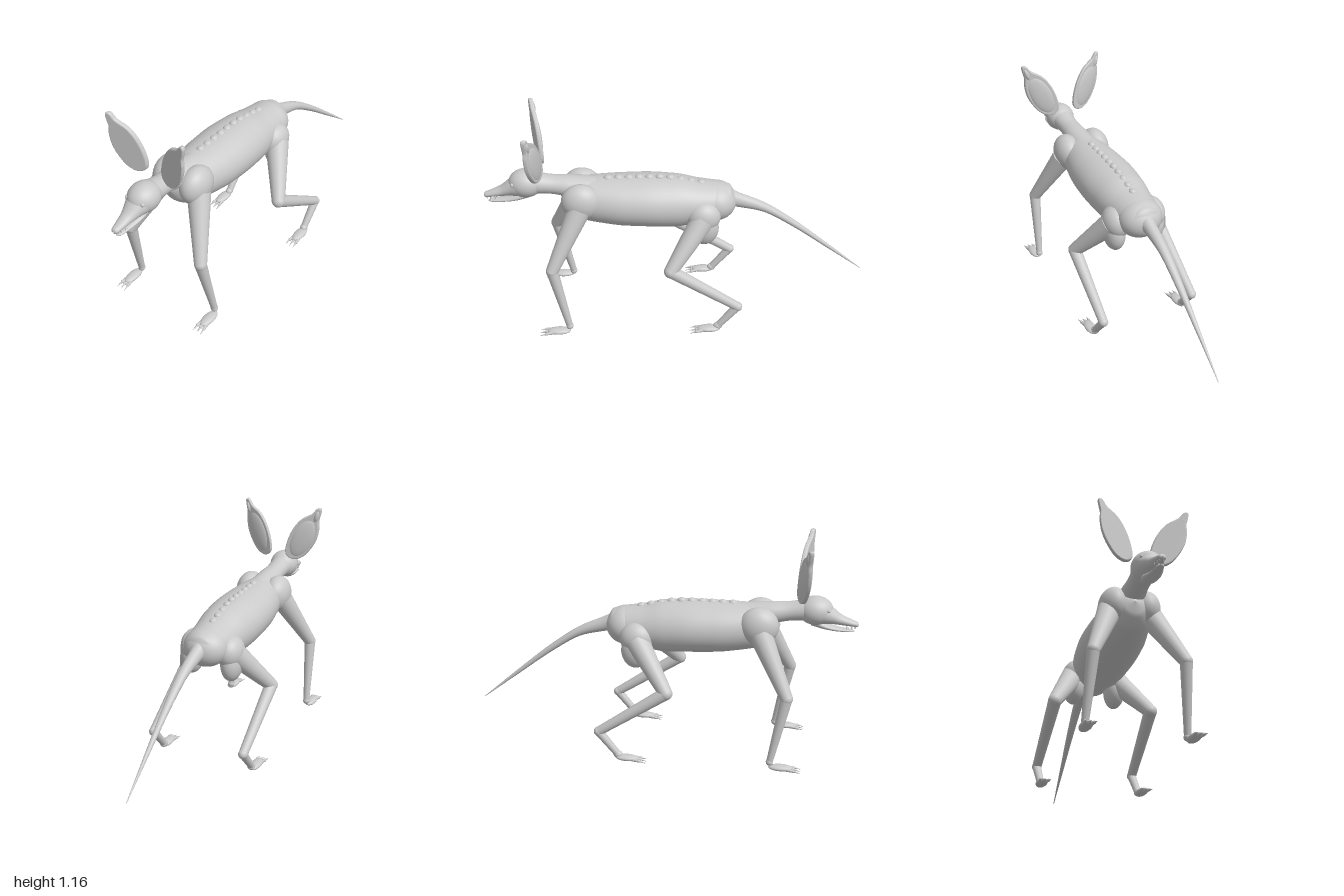
import * as THREE from 'three';

const grey = new THREE.MeshStandardMaterial({ color: 0xcacaca });
grey.name = 'light grey skin';
const V = (x, y, z) => new THREE.Vector3(x, y, z);

function add(parent, name, geometry) {
  const mesh = new THREE.Mesh(geometry, grey);
  mesh.name = name;
  parent.add(mesh);
  return mesh;
}

// Ellipsoid at a centre with three radii
function blob(parent, name, c, r, seg = 24) {
  const mesh = add(parent, name, new THREE.SphereGeometry(1, seg, Math.ceil(seg * 0.7)));
  mesh.position.set(...c);
  mesh.scale.set(...r);
  return mesh;
}

// Tapered round bar between two points
function bone(parent, name, a, b, ra, rb, seg = 16) {
  const p = V(...a), q = V(...b), d = q.clone().sub(p);
  const mesh = add(parent, name, new THREE.CylinderGeometry(rb, ra, d.length(), seg));
  mesh.position.copy(p).add(q).multiplyScalar(0.5);
  mesh.quaternion.setFromUnitVectors(V(0, 1, 0), d.normalize());
  return mesh;
}

// Smooth skin through oval sections [z, y, rx, ry], listed from front to back
function loft(parent, name, sections, steps = 40, around = 32) {
  const centre = new THREE.CatmullRomCurve3(sections.map(s => V(0, s[1], s[0])));
  const radii = new THREE.CatmullRomCurve3(sections.map(s => V(s[2], s[3], 0)));
  const pos = [], index = [];
  for (let i = 0; i <= steps; i++) {
    const c = centre.getPoint(i / steps), r = radii.getPoint(i / steps);
    for (let j = 0; j < around; j++) {
      const t = (j / around) * Math.PI * 2;
      pos.push(Math.max(r.x, 0.001) * Math.cos(t), c.y + Math.max(r.y, 0.001) * Math.sin(t), c.z);
      if (i === steps) continue;
      const a = i * around + j, b = i * around + (j + 1) % around;
      index.push(a, a + around, b, b, a + around, b + around);
    }
  }
  const g = new THREE.BufferGeometry();
  g.setAttribute('position', new THREE.Float32BufferAttribute(pos, 3));
  g.setIndex(index);
  g.computeVertexNormals();
  return add(parent, name, g);
}

// Paw with three claws reaching forward
function paw(parent, x, z) {
  blob(parent, 'paw', [x, 0.022, z], [0.029, 0.016, 0.062]);
  for (const k of [-1, 0, 1]) {
    const root = [x + k * 0.014, 0.02, z + 0.03];
    const tip = [x + k * 0.021, 0.016, z + 0.066];
    bone(parent, 'toe', root, tip, 0.011, 0.007, 10);
    blob(parent, 'toeTip', tip, [0.008, 0.008, 0.01], 10);
    bone(parent, 'claw', tip, [x + k * 0.024, 0.008, z + 0.102], 0.006, 0.001, 8);
  }
}

function frontLeg(s) {
  const g = new THREE.Group();
  g.name = s > 0 ? 'leftFrontLeg' : 'rightFrontLeg';
  const elbow = [s * 0.225, 0.395, 0.66], wrist = [s * 0.245, 0.045, 0.588];
  blob(g, 'shoulder', [s * 0.082, 0.722, 0.5], [0.073, 0.098, 0.102], 32);
  bone(g, 'upperArm', [s * 0.105, 0.69, 0.51], elbow, 0.06, 0.032, 24);
  blob(g, 'elbow', elbow, [0.032, 0.032, 0.032]);
  bone(g, 'foreArm', elbow, wrist, 0.031, 0.017);
  blob(g, 'wrist', wrist, [0.019, 0.02, 0.019]);
  paw(g, s * 0.255, 0.645);
  return g;
}

function hindLeg(s) {
  const g = new THREE.Group();
  g.name = s > 0 ? 'leftHindLeg' : 'rightHindLeg';
  const knee = [s * 0.255, 0.395, 0.05], hock = [s * 0.262, 0.16, -0.302], ankle = [s * 0.262, 0.035, -0.2];
  blob(g, 'hip', [s * 0.1, 0.63, -0.125], [0.072, 0.085, 0.09], 32);
  blob(g, 'buttock', [s * 0.112, 0.565, -0.13], [0.055, 0.095, 0.075], 32);
  bone(g, 'thigh', [s * 0.12, 0.62, -0.12], knee, 0.062, 0.035, 24);
  blob(g, 'knee', knee, [0.035, 0.035, 0.035]);
  bone(g, 'shin', knee, hock, 0.034, 0.024);
  blob(g, 'hock', hock, [0.025, 0.025, 0.025]);
  bone(g, 'heel', hock, ankle, 0.023, 0.018);
  blob(g, 'ankle', ankle, [0.02, 0.02, 0.024]);
  paw(g, s * 0.267, -0.152);
  return g;
}

// Thin leaf-shaped ear with a padded back, swept forward towards its outer side
function ear(parent, s) {
  const outline = [[0.085, 0.866], [0.054, 0.888], [0.052, 0.93], [0.083, 1.025], [0.13, 1.09], [0.187, 1.125],
    [0.212, 1.155], [0.222, 1.155], [0.22, 1.13], [0.211, 1.09], [0.213, 1.05], [0.202, 0.985], [0.174, 0.928], [0.13, 0.878]];
  const curve = new THREE.CatmullRomCurve3(outline.map(p => V(s * p[0], p[1], 0)), true);
  const shape = new THREE.Shape(curve.getPoints(56).slice(0, -1).map(p => new THREE.Vector2(p.x, p.y)));
  const g = new THREE.ExtrudeGeometry(shape, {
    depth: 0.008, bevelThickness: 0.008, bevelSize: 0.007, bevelSegments: 4, curveSegments: 1
  });
  const p = g.attributes.position;
  for (let i = 0; i < p.count; i++) {
    p.setZ(i, p.getZ(i) + 0.716 + 0.3 * (Math.abs(p.getX(i)) - 0.135));
  }
  g.computeVertexNormals();
  add(parent, s > 0 ? 'leftEar' : 'rightEar', g);
  const back = blob(parent, 'earBack', [s * 0.135, 0.985, 0.713], [0.06, 0.118, 0.016], 32);
  const tip = blob(parent, 'earTip', [s * 0.205, 1.115, 0.737], [0.014, 0.035, 0.016]);
  back.rotation.set(0, -s * 0.29, -s * 0.43, 'YXZ');
  tip.rotation.set(0, -s * 0.29, -s * 0.3, 'YXZ');
}

export function createModel() {
  const model = new THREE.Group();
  model.name = 'longEaredCreature';

  // Trunk, pelvis, neck and tail
  loft(model, 'body', [
    [0.605, 0.71, 0.002, 0.002], [0.585, 0.705, 0.06, 0.06], [0.53, 0.7, 0.105, 0.105], [0.45, 0.695, 0.125, 0.12],
    [0.3, 0.685, 0.15, 0.133], [0.15, 0.68, 0.157, 0.137], [0, 0.671, 0.145, 0.135], [-0.1, 0.668, 0.128, 0.114],
    [-0.2, 0.667, 0.112, 0.1], [-0.27, 0.675, 0.075, 0.072], [-0.302, 0.68, 0.002, 0.002]
  ], 60, 40);
  blob(model, 'pelvis', [0, 0.665, -0.195], [0.117, 0.102, 0.108], 32);
  loft(model, 'neck', [
    [0.76, 0.8, 0.062, 0.06], [0.65, 0.785, 0.055, 0.05], [0.56, 0.772, 0.064, 0.058], [0.42, 0.75, 0.075, 0.068]
  ]);
  loft(model, 'tail', [
    [-0.25, 0.685, 0.045, 0.052], [-0.32, 0.661, 0.034, 0.04], [-0.45, 0.613, 0.026, 0.027],
    [-0.6, 0.515, 0.02, 0.022], [-0.8, 0.358, 0.011, 0.014], [-1, 0.196, 0.002, 0.002]
  ]);

  // Ridge of small vertebrae along the back
  for (let i = 0; i < 10; i++) {
    const z = 0.36 - i * 0.053;
    const y = 0.811 - Math.max(0, 0.07 - z) * 0.21;
    blob(model, 'vertebra', [0, y, z], [0.021, 0.018, 0.024], 14);
  }

  // Head, snout and jaw
  const head = new THREE.Group();
  head.name = 'head';
  model.add(head);
  blob(head, 'skull', [0, 0.795, 0.78], [0.077, 0.075, 0.09], 32);
  loft(head, 'snout', [
    [1, 0.728, 0.002, 0.002], [0.993, 0.73, 0.017, 0.013], [0.96, 0.738, 0.025, 0.018],
    [0.91, 0.752, 0.034, 0.027], [0.865, 0.772, 0.049, 0.043], [0.82, 0.79, 0.067, 0.064], [0.77, 0.795, 0.072, 0.07]
  ]);
  loft(head, 'lowerJaw', [
    [0.98, 0.695, 0.002, 0.002], [0.968, 0.696, 0.016, 0.007], [0.9, 0.701, 0.026, 0.011],
    [0.83, 0.717, 0.036, 0.018], [0.76, 0.745, 0.035, 0.03]
  ]);
  for (const s of [1, -1]) {
    blob(head, 'eye', [s * 0.048, 0.81, 0.844], [0.01, 0.01, 0.01], 14);
    for (let i = 0; i < 4; i++) {
      const x = s * (0.006 + i * 0.005), z = 0.985 - i * i * 0.005;
      bone(head, 'upperTooth', [x, 0.724, z], [x, 0.709, z], 0.003, 0.0005, 6);
      bone(head, 'lowerTooth', [x * 0.75, 0.697, z - 0.018], [x * 0.75, 0.71, z - 0.018], 0.003, 0.0005, 6);
    }
    ear(head, s);
    model.add(frontLeg(s), hindLeg(s));
  }
  return model;
}
